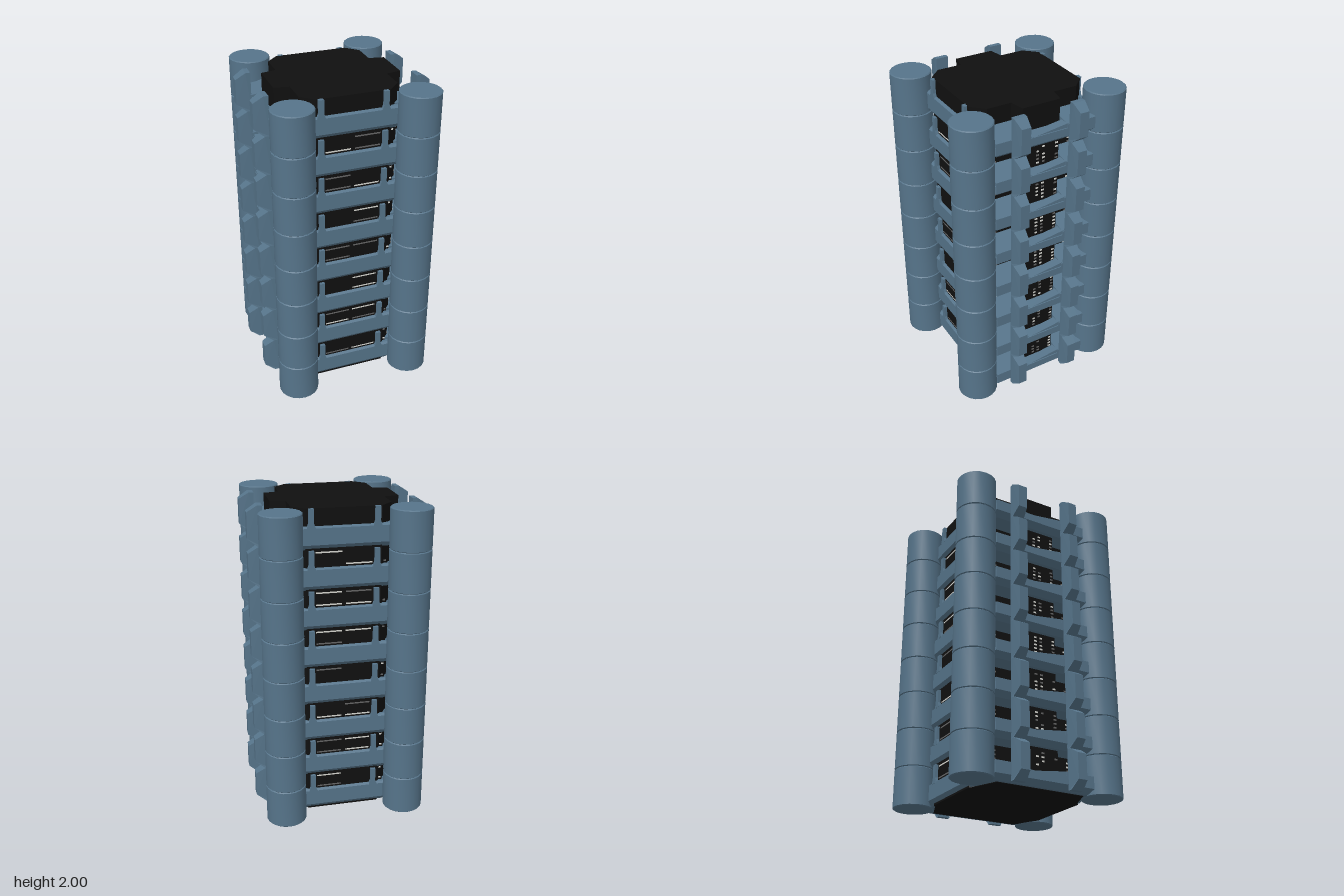
import * as THREE from 'three';
import { mergeGeometries, toCreasedNormals } from 'three/addons/utils/BufferGeometryUtils.js';

const FLOORS = 8, H = 0.25;
const mat = (color) => new THREE.MeshStandardMaterial({ color });
const steel = mat(0x56748a), black = mat(0x101010), lit = mat(0xd8d8d2), dim = mat(0x666666);
steel.side = THREE.DoubleSide;

function add(parent, name, geometry, material, x = 0, y = 0, z = 0) {
  const mesh = new THREE.Mesh(geometry, material);
  mesh.name = name;
  mesh.position.set(x, y, z);
  parent.add(mesh);
  return mesh;
}

const shape = (pts) => new THREE.Shape(pts.map(([x, y]) => new THREE.Vector2(x, y)));
const extrude = (pts, depth) =>
  new THREE.ExtrudeGeometry(shape(pts), { depth, bevelEnabled: false });
// plan outline (x, z) raised to the given height
const slab = (pts, height) => extrude(pts, height).rotateX(-Math.PI / 2);

// chamfered rectangle in plan
const octagon = (hx, hz, cx, cz) => [
  [hx, -hz + cz], [hx, hz - cz], [hx - cx, hz], [-hx + cx, hz],
  [-hx, hz - cz], [-hx, -hz + cz], [-hx + cx, -hz], [hx - cx, -hz]];

// closed solid through stacked octagons
function loft(levels) {
  const pos = [], index = [], n = 8;
  levels.forEach(([y, hx, hz]) =>
    octagon(hx, hz, 0.165, 0.06).forEach(([x, z]) => pos.push(x, y, -z)));
  for (let l = 0; l < levels.length - 1; l++)
    for (let i = 0; i < n; i++) {
      const a = l * n + i, b = l * n + (i + 1) % n;
      index.push(a, b, b + n, a, b + n, a + n);
    }
  const top = (levels.length - 1) * n;
  for (let i = 1; i < n - 1; i++) index.push(0, i + 1, i, top, top + i, top + i + 1);
  const g = new THREE.BufferGeometry();
  g.setAttribute('position', new THREE.Float32BufferAttribute(pos, 3));
  g.setIndex(index);
  return toCreasedNormals(g, 0.2);
}

let seed = 7;
const rand = () => (seed = (seed * 16807) % 2147483647) / 2147483647;

// shared parts of one floor
const bandGeo = loft([[0.003, 0.425, 0.37], [0.035, 0.465, 0.395], [0.085, 0.465, 0.395], [0.1, 0.4, 0.385]]);
const frontBandGeo = extrude([[0.36, 0.05], [0.395, 0.05], [0.395, 0.135], [0.38, 0.145], [0.36, 0.145]], 0.6)
  .translate(0, 0, -0.3).rotateY(-Math.PI / 2);
const shoulderGeo = extrude([[0.28, 0.05], [0.465, 0.05], [0.465, 0.11], [0.305, 0.14], [0.28, 0.14]], 0.195);
const sillGeo = extrude([[-0.15, 0.05], [0.15, 0.05], [0.15, 0.115], [-0.08, 0.085], [-0.15, 0.1]], 0.06)
  .rotateY(Math.PI / 2).translate(0.4, 0, 0);
const mullionGeo = extrude([[-0.028, 0.13], [0.028, 0.13], [0.016, 0.165], [0.016, H], [-0.016, H], [-0.016, 0.165]], 0.025);

// fin narrows slightly towards its outer face
const finGeo = extrude([[0.46, 0], [0.49, 0], [0.553, 0.05], [0.553, 0.21], [0.49, H], [0.46, H]], 0.08)
  .translate(0, 0, -0.04);
const fp = finGeo.attributes.position;
for (let i = 0; i < fp.count; i++) if (fp.getX(i) > 0.5) fp.setZ(i, fp.getZ(i) * 0.75);
finGeo.computeVertexNormals();

// column drum with fine grooves at both ends
const drumGeo = toCreasedNormals(new THREE.LatheGeometry(
  [[0, 0], [0.122, 0], [0.128, 0.005], [0.128, 0.245], [0.122, H], [0, H]]
    .map(([r, y]) => new THREE.Vector2(r, y)), 20), 0.5);

function buildFloor(level) {
  const floor = new THREE.Group();
  floor.name = 'floor' + (level + 1);
  floor.position.y = level * H;
  add(floor, 'floorBand', bandGeo, steel);

  for (const sx of [1, -1])
    for (const sz of [1, -1]) add(floor, 'columnDrum', drumGeo, steel, sx * 0.388, 0, sz * 0.445);

  // two matching halves
  const panes = { lit: [], dim: [] };
  for (const turn of [0, Math.PI]) {
    const half = new THREE.Group();
    half.name = turn ? 'backRightFacade' : 'frontLeftFacade';
    half.rotation.y = turn;
    floor.add(half);
    add(half, 'facadeBand', frontBandGeo, steel);
    add(half, 'baySill', sillGeo, steel);
    for (const s of [1, -1]) {
      add(half, 'mullion', mullionGeo, steel, s * 0.2, 0, 0.372);
      add(half, 'sideFin', finGeo, steel, 0, 0, s * 0.193);
      add(half, 'sideShoulder', shoulderGeo, steel, 0, 0, s > 0 ? 0.14 : -0.335);
    }
    if (level === FLOORS - 1) continue;

    const pane = (w, h, d, x, y, z) => panes[rand() < 0.6 ? 'lit' : 'dim'].push(
      new THREE.BoxGeometry(w, h, d).translate(x, y, z).rotateY(turn));
    // long light strips on the wide face
    for (const y of [0.16, 0.236])
      for (const [x, w] of [[-0.092, 0.16], [0.092, 0.16], [-0.25, 0.025], [0.25, 0.025]])
        if (rand() < 0.65) pane(w, 0.009, 0.004, x, y, w > 0.1 ? 0.376 : 0.358);
    // small windows on the bay and beside it
    for (let r = 0; r < 5; r++) {
      const y = 0.122 + r * 0.025;
      for (const z of [-0.11, -0.02, 0.02, 0.11])
        if (rand() < 0.85) pane(0.004, 0.01, 0.018, 0.401, y, z);
      for (const z of [-0.288, -0.258, 0.258, 0.288])
        if (r > 0 && rand() < 0.85) pane(0.004, 0.01, 0.02, 0.306, y, z);
    }
  }
  if (panes.lit.length) add(floor, 'litWindows', mergeGeometries(panes.lit), lit);
  if (panes.dim.length) add(floor, 'dimWindows', mergeGeometries(panes.dim), dim);
  return floor;
}

export function createModel() {
  const tower = new THREE.Group();
  tower.name = 'tower';

  // dark glazed core with a bay on each side
  const quarter = [[0.4, 0.125], [0.305, 0.143], [0.305, 0.3], [0.23, 0.377]];
  const right = [...quarter.map(([x, z]) => [x, -z]).reverse(), ...quarter];
  const outline = [...right, ...right.map(([x, z]) => [-x, -z])];
  add(tower, 'core', slab(outline, FLOORS * H), black);
  add(tower, 'basePlate', slab(octagon(0.405, 0.355, 0.15, 0.06), 0.01), black);

  for (let i = 0; i < FLOORS; i++) tower.add(buildFloor(i));
  return tower;
}
